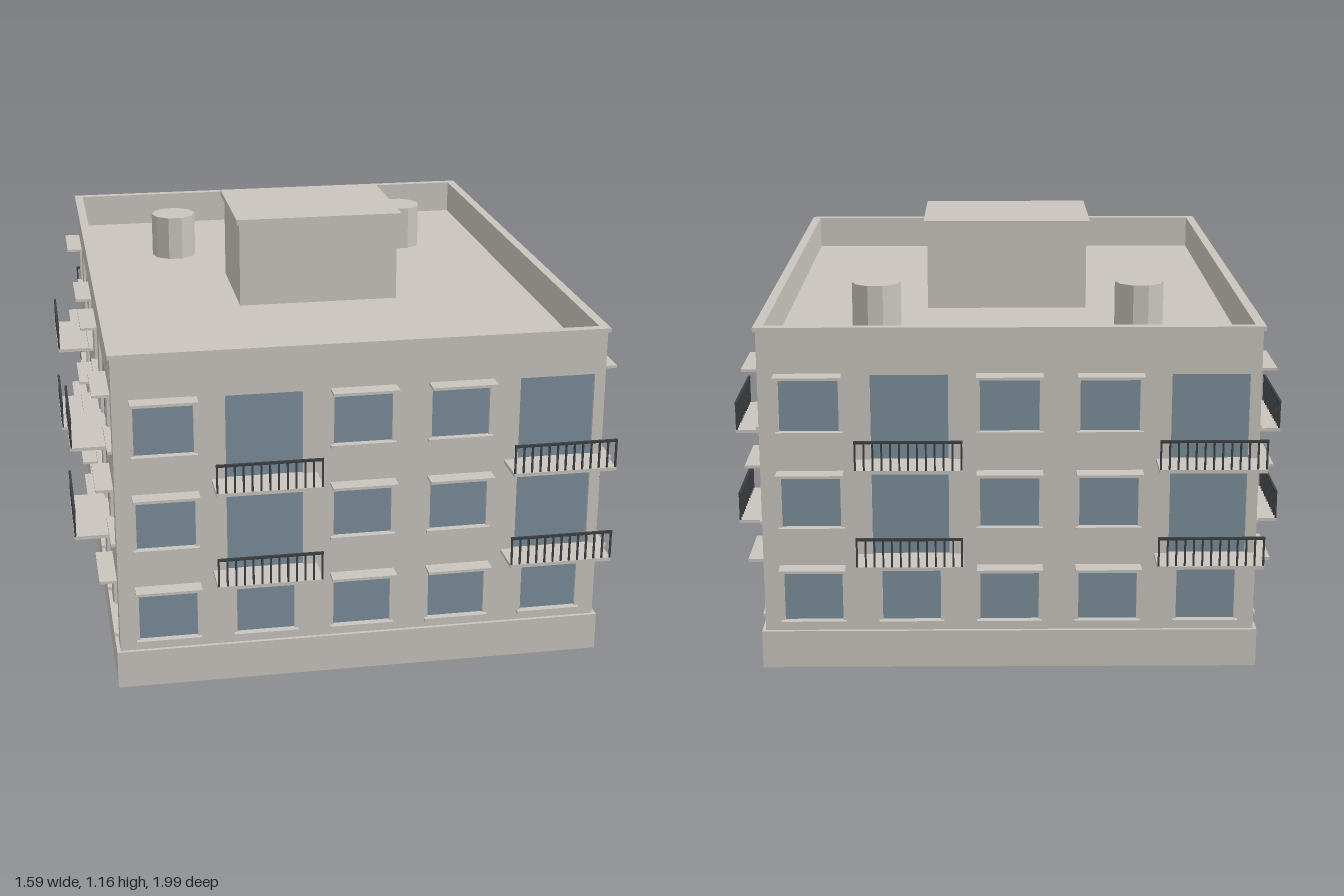
import * as THREE from 'three';

const plaster = new THREE.MeshStandardMaterial({ color: 0xc9c4bd });
plaster.name = 'plaster';
const glass = new THREE.MeshStandardMaterial({ color: 0x7b8e9b });
glass.name = 'windowGlass';
const iron = new THREE.MeshStandardMaterial({ color: 0x3c4043 });
iron.name = 'railingIron';

const HALF_X = 0.69, HALF_Z = 0.89, WALL = 0.02;
const WALL_BOTTOM = 0.11, WALL_TOP = 0.978;
const STOREY = 0.2775, SILL_Y = 0.14, HEAD_Y = 0.297;

function add(parent, name, geometry, material, x = 0, y = 0, z = 0) {
  const mesh = new THREE.Mesh(geometry, material);
  mesh.name = name;
  mesh.position.set(x, y, z);
  parent.add(mesh);
  return mesh;
}

// Box given by its centre in x, and its ranges in y and z
function block(parent, name, material, x, width, y0, y1, z0, z1) {
  return add(parent, name, new THREE.BoxGeometry(width, y1 - y0, z1 - z0), material,
    x, (y0 + y1) / 2, (z0 + z1) / 2);
}

function rectangle(path, x0, y0, x1, y1) {
  path.moveTo(x0, y0);
  path.lineTo(x1, y0);
  path.lineTo(x1, y1);
  path.lineTo(x0, y1);
  path.closePath();
  return path;
}

// Rectangular ring lying flat, open in the middle
function ring(parent, name, hx, hz, ix, iz, y0, y1) {
  const shape = rectangle(new THREE.Shape(), -hx, -hz, hx, hz);
  shape.holes.push(rectangle(new THREE.Path(), -ix, -iz, ix, iz));
  const geometry = new THREE.ExtrudeGeometry(shape, { depth: y1 - y0, bevelEnabled: false });
  geometry.rotateX(-Math.PI / 2);
  add(parent, name, geometry, plaster, 0, y0, 0);
}

// Slab with a railing along its outer edge
function balcony(parent, x, floorY, width) {
  const group = new THREE.Group();
  group.name = 'balcony';
  group.position.set(x, floorY, 0);
  parent.add(group);
  block(group, 'balconySlab', plaster, 0, width, -0.01, 0, 0, 0.106);
  block(group, 'handrail', iron, 0, width, 0.076, 0.083, 0.099, 0.106);
  const bars = 13;
  for (let i = 0; i < bars; i++) {
    const bx = (i / (bars - 1) - 0.5) * (width - 0.006);
    block(group, 'railingBar', iron, bx, 0.005, 0, 0.077, 0.1, 0.105);
  }
}

// One facade: outer face at local z = 0, facing local +z
function facade(parent, name, wallHalf, columns, pitch, balconyColumns, doorWidth, slabWidth) {
  const side = new THREE.Group();
  side.name = name;
  parent.add(side);
  const windowWidth = pitch * 0.595;
  const shape = rectangle(new THREE.Shape(), -wallHalf, WALL_BOTTOM, wallHalf, WALL_TOP);

  for (let c = 0; c < columns; c++) {
    const x = (c - (columns - 1) / 2) * pitch;
    const hasBalcony = balconyColumns.includes(c);
    for (let row = 0; row < 3; row++) {
      const isDoor = hasBalcony && row > 0;
      const w = isDoor ? doorWidth : windowWidth;
      const y0 = SILL_Y + row * STOREY - (isDoor ? 0.08 : 0);
      const y1 = HEAD_Y + row * STOREY + (isDoor ? 0.004 : 0);
      shape.holes.push(rectangle(new THREE.Path(), x - w / 2, y0, x + w / 2, y1));
      block(side, isDoor ? 'balconyDoorGlass' : 'windowPane', glass, x, w, y0, y1, -0.014, -0.009);
      if (isDoor) {
        balcony(side, x, y0, slabWidth);
      } else {
        block(side, 'windowSill', plaster, x, w + 0.02, y0 - 0.009, y0, -0.004, 0.013);
        if (!hasBalcony) block(side, 'windowHood', plaster, x, w + 0.02, y1, y1 + 0.008, -0.004, 0.049);
      }
    }
  }
  const wall = new THREE.ExtrudeGeometry(shape, { depth: WALL, bevelEnabled: false });
  add(side, 'wall', wall, plaster, 0, 0, -WALL);
  return side;
}

export function createModel() {
  const model = new THREE.Group();
  model.name = 'apartmentBlock';

  // Hollow base and roof edge
  ring(model, 'plinth', 0.7, 0.9, 0.687, 0.887, 0, WALL_BOTTOM);
  ring(model, 'parapetCoping', 0.697, 0.897, 0.67, 0.87, WALL_TOP, 0.99);

  // Four facades, opposite ones alike by half turn
  for (const s of [1, -1]) {
    const end = facade(model, s > 0 ? 'frontFacade' : 'backFacade', HALF_X, 5, 0.276, [1, 4], 0.214, 0.294);
    end.position.z = s * HALF_Z;
    end.rotation.y = s > 0 ? 0 : Math.PI;
    const flank = facade(model, s > 0 ? 'leftFacade' : 'rightFacade', HALF_Z - WALL, 6, 0.297, [1, 4], 0.235, 0.306);
    flank.position.x = s * HALF_X;
    flank.rotation.y = s * Math.PI / 2;
  }

  // Sunken roof deck with stair house and vents
  block(model, 'roofDeck', plaster, 0, 2 * (HALF_X - WALL), 0.86, 0.885, -0.87, 0.87);
  block(model, 'stairHouse', plaster, 0, 0.49, 0.885, 1.143, -0.18, 0.18);
  block(model, 'stairHouseRoof', plaster, 0, 0.51, 1.143, 1.16, -0.195, 0.195);
  for (const s of [1, -1]) {
    const vent = new THREE.CylinderGeometry(0.072, 0.072, 0.14, 10).toNonIndexed();
    vent.rotateY(Math.PI / 2);
    vent.computeVertexNormals();
    add(model, 'roofVent', vent, plaster, s * 0.387, 0.955, -0.45);
  }
  return model;
}
